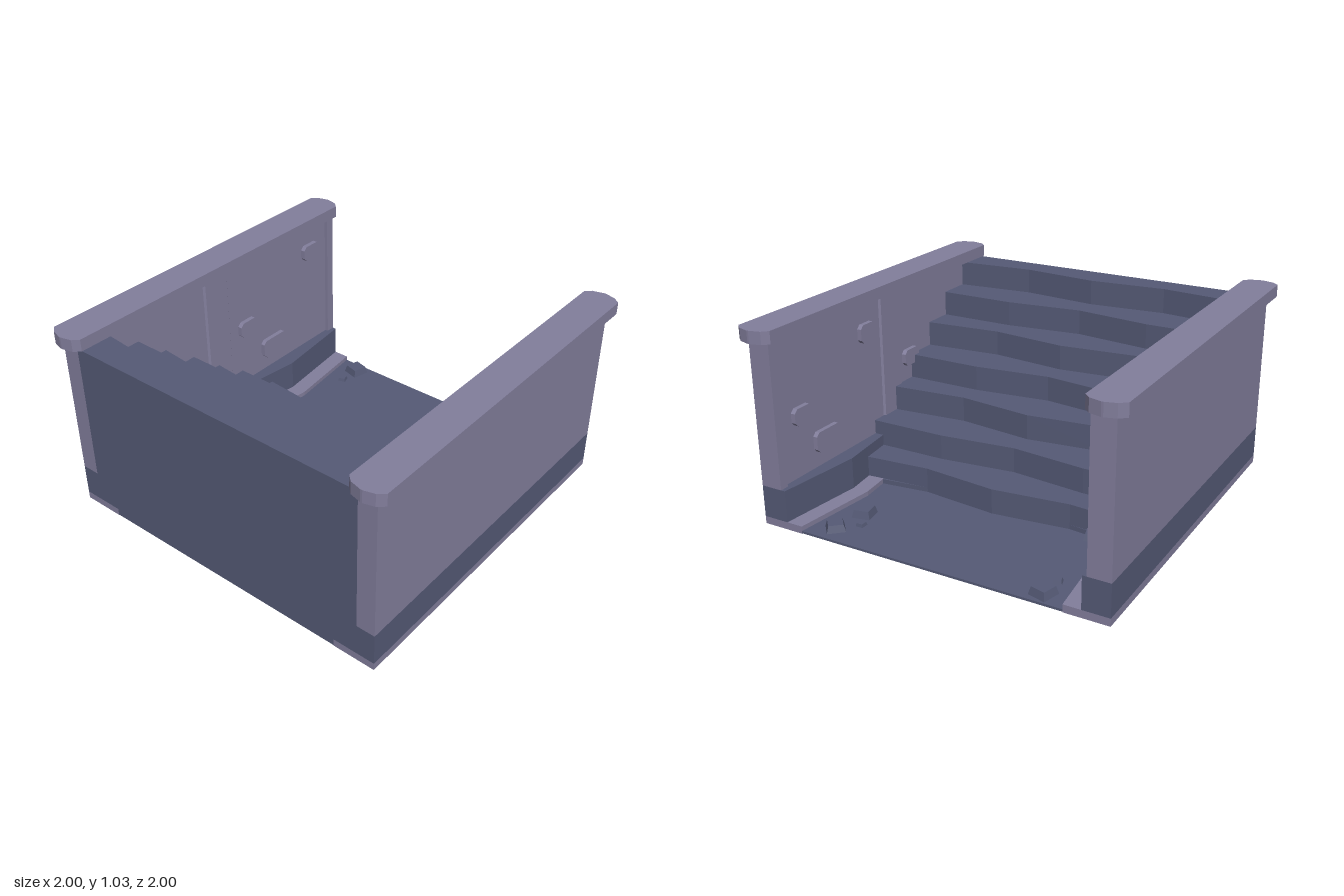
import * as THREE from 'three';

export function createModel() {
  const model = new THREE.Group();
  model.name = 'walledStairway';
  const paleStone = new THREE.MeshStandardMaterial({ color: 0x827e9c });
  paleStone.name = 'paleStone';
  const darkStone = new THREE.MeshStandardMaterial({ color: 0x555a76 });
  darkStone.name = 'darkStone';

  function add(name, geometry, material, parent = model) {
    const mesh = new THREE.Mesh(geometry, material);
    mesh.name = name;
    parent.add(mesh);
    return mesh;
  }

  // Upright slab from a plan outline of [x, z] points, between two heights
  function slab(plan, y0, y1) {
    const shape = new THREE.Shape(plan.map(([x, z]) => new THREE.Vector2(x, -z)));
    const g = new THREE.ExtrudeGeometry(shape, { depth: y1 - y0, bevelEnabled: false });
    return g.rotateX(-Math.PI / 2).translate(0, y0, 0);
  }

  const FLOOR = 0.015, RISE = 0.136, END = 0.95;

  // Floor between the kerbs
  add('floor', slab([[-0.72, -END], [0.72, -END], [0.72, -0.2], [-0.72, -0.2]], 0.003, FLOOR), darkStone);

  // Steps with worn, zigzag fronts: z at the middle, quarter and wall
  const fronts = [
    [-0.335, -0.29, -0.325], [-0.105, -0.15, -0.15], [0.03, 0.08, 0.04],
    [0.265, 0.215, 0.215], [0.4, 0.445, 0.405], [0.63, 0.58, 0.58], [0.77, 0.81, 0.77],
  ];
  const stepPlan = ([mid, quarter, side], w) => [
    [-w, side], [-0.42, quarter], [0, mid], [0.42, quarter], [w, side], [w, END], [-w, END],
  ];
  add('stairFooting', slab(stepPlan(fronts[0], 0.72), 0.003, 0.04), darkStone);
  fronts.forEach((front, i) => {
    const y0 = i === 0 ? 0.04 : FLOOR + i * RISE;
    add('step' + (i + 1), slab(stepPlan(front, 0.85), y0, FLOOR + (i + 1) * RISE), darkStone);
  });

  // Thin stone with cut corners, lying in the z-y plane of a wall
  function wallStone(w, h) {
    const a = w / 2, b = h / 2, c = 0.02;
    const shape = new THREE.Shape([
      [-a + c, -b], [a - c, -b], [a, -b + c], [a, b - c],
      [a - c, b], [-a + c, b], [-a, b - c], [-a, -b + c],
    ].map(([x, y]) => new THREE.Vector2(x, y)));
    const g = new THREE.ExtrudeGeometry(shape, { depth: 0.04, bevelEnabled: false });
    return g.translate(0, 0, -0.02).rotateY(Math.PI / 2);
  }

  // Side walls, built alike on both sides
  for (const s of [1, -1]) {
    const side = new THREE.Group();
    side.name = s > 0 ? 'leftWall' : 'rightWall';
    model.add(side);
    const mirror = (plan) => plan.map(([x, z]) => [s * x, z]);

    add('kerb', slab(mirror([
      [0.95, -END], [0.72, -END], [0.67, -0.48], [0.69, -0.3], [0.72, -0.2], [0.72, END], [0.95, END],
    ]), 0, 0.04), paleStone, side);
    add('wallBase', slab(mirror([
      [0.95, -END], [0.81, -END], [0.76, -0.48], [0.78, -0.32], [0.8, -0.15],
      [0.85, -0.1], [0.85, END], [0.95, END],
    ]), 0.04, 0.21), darkStone, side);

    // Wall with an end post and a shallow pilaster on its inner face
    add('wallPanel', slab(mirror([
      [0.95, -END], [0.832, -END], [0.832, -0.9], [0.85, -0.9], [0.85, -0.07], [0.84, -0.06],
      [0.84, 0.1], [0.85, 0.11], [0.85, END], [0.95, END],
    ]), 0.21, 0.97), paleStone, side);

    // Coping with faceted round ends
    const cap = [[0.81, 0.955], [0.84, 0.985], [0.9, 1], [0.91, 1], [0.965, 0.985], [1, 0.955]];
    const capPlan = [...cap, ...cap.slice().reverse().map(([x, z]) => [x, -z])];
    add('coping', slab(mirror(capPlan), 0.97, 1.035), paleStone, side);

    // Raised stones: z, y, width, height
    for (const [z, y, w, h] of [
      [-0.2, 0.81, 0.12, 0.1], [-0.75, s > 0 ? 0.54 : 0.82, 0.13, 0.09],
      [s > 0 ? -0.57 : -0.41, 0.35, 0.19, 0.11], [s > 0 ? 0.19 : -0.2, 0.56, 0.13, 0.09],
    ]) {
      if (s < 0 && y === 0.81) continue;
      add('raisedStone', wallStone(w, h), paleStone, side).position.set(s * 0.845, y, z);
    }
  }

  // Loose rubble with tapered tops: x, z, size, turn
  for (const [x, z, size, turn] of [
    [-0.59, -0.88, 0.1, -0.25], [-0.6, -0.76, 0.045, 0.3], [0.59, -0.85, 0.095, 0.75],
    [0.5, -0.76, 0.042, 0], [0.555, -0.66, 0.1, 0.2], [-0.56, -0.31, 0.09, 0.3],
  ]) {
    const h = size * 0.4;
    const g = new THREE.CylinderGeometry(size * 0.56, size * 0.7, h, 4).toNonIndexed();
    g.rotateY(Math.PI / 4).computeVertexNormals();
    const rock = add('rubble', g, darkStone);
    rock.position.set(x, FLOOR + h / 2, z);
    rock.rotation.y = turn;
  }

  return model;
}
